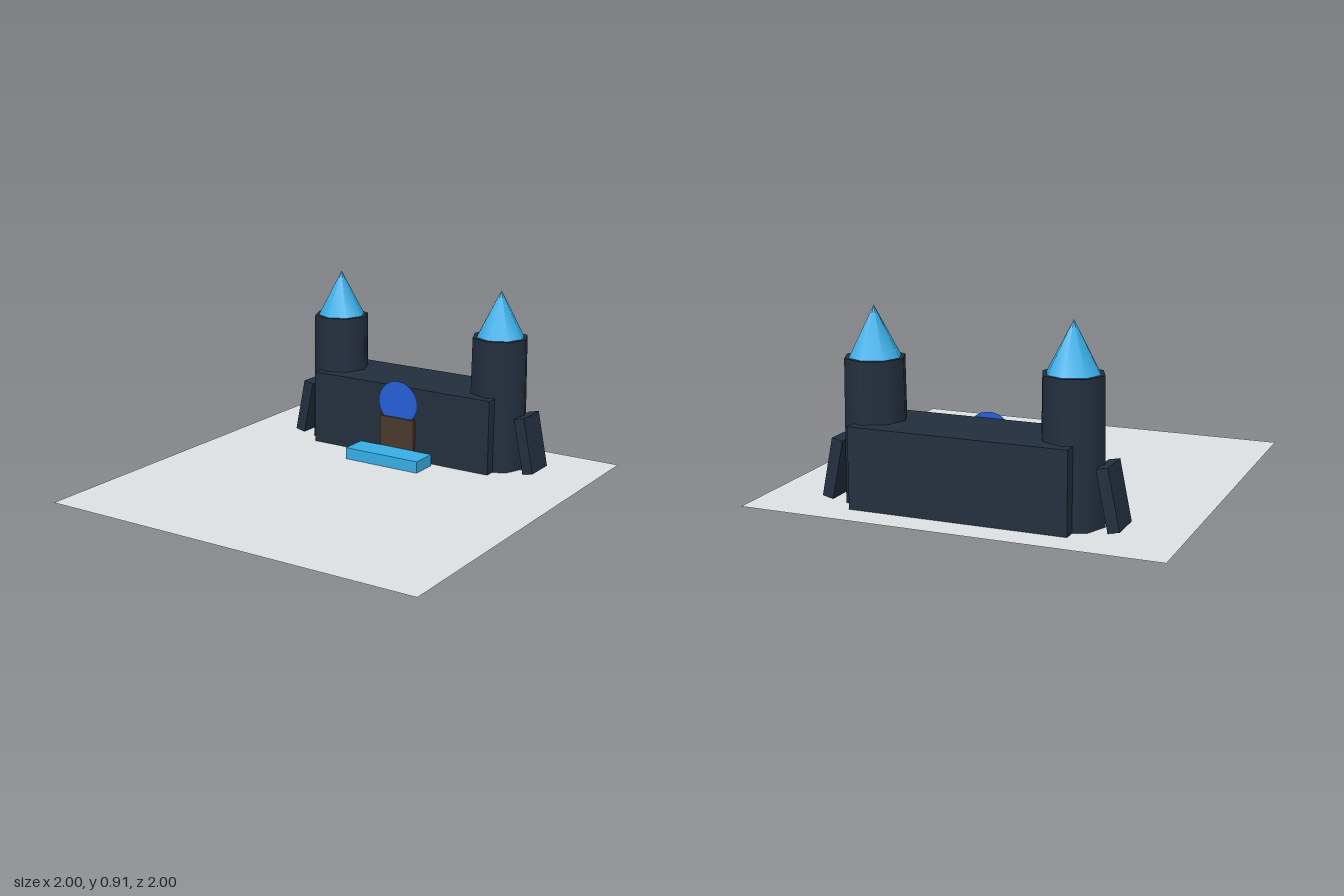
import * as THREE from 'three';

function paint(name, color, side = THREE.FrontSide) {
  const m = new THREE.MeshStandardMaterial({ color, side });
  m.name = name;
  return m;
}

export function createModel() {
  const castle = new THREE.Group();
  castle.name = 'castle';

  const stone = paint('dark slate', 0x232f3f);
  const sky = paint('sky blue', 0x38b2ec);
  const blue = paint('royal blue', 0x235fd8, THREE.DoubleSide);
  const wood = paint('brown wood', 0x4a382e);
  const ground = paint('pale grey', 0xdde1e5, THREE.DoubleSide);

  const add = (name, geometry, material, x, y, z) => {
    const mesh = new THREE.Mesh(geometry, material);
    mesh.name = name;
    mesh.position.set(x, y, z);
    castle.add(mesh);
    return mesh;
  };
  // Box standing just above the ground sheet
  const block = (name, w, h, d, material, z) =>
    add(name, new THREE.BoxGeometry(w, h, d), material, 0, h / 2 + 0.002, z);

  const midZ = -0.667;

  // Flat ground sheet
  add('ground', new THREE.PlaneGeometry(2, 2), ground, 0, 0, 0).rotation.x = -Math.PI / 2;

  // Main hall with door, front step and round window
  block('hall', 1.044, 0.383, 0.38, stone, -0.67);
  block('door', 0.2, 0.217, 0.03, wood, -0.477);
  block('frontStep', 0.424, 0.06, 0.143, sky, -0.384);
  add('roundWindow', new THREE.CircleGeometry(0.114, 32), blue, 0, 0.298, -0.472);

  // Mirrored towers, roofs and leaning buttresses
  for (const [side, s] of [['left', 1], ['right', -1]]) {
    const x = s * 0.476;
    add(side + 'Tower', new THREE.CylinderGeometry(0.143, 0.152, 0.67, 8), stone, x, 0.337, midZ);
    add(side + 'Roof', new THREE.ConeGeometry(0.124, 0.235, 8), sky, x, 0.788, midZ);
    const buttress = add(side + 'Buttress', new THREE.BoxGeometry(0.055, 0.285, 0.167),
      stone, s * 0.664, 0.148, midZ);
    buttress.rotation.z = s * 0.2;
  }

  return castle;
}
